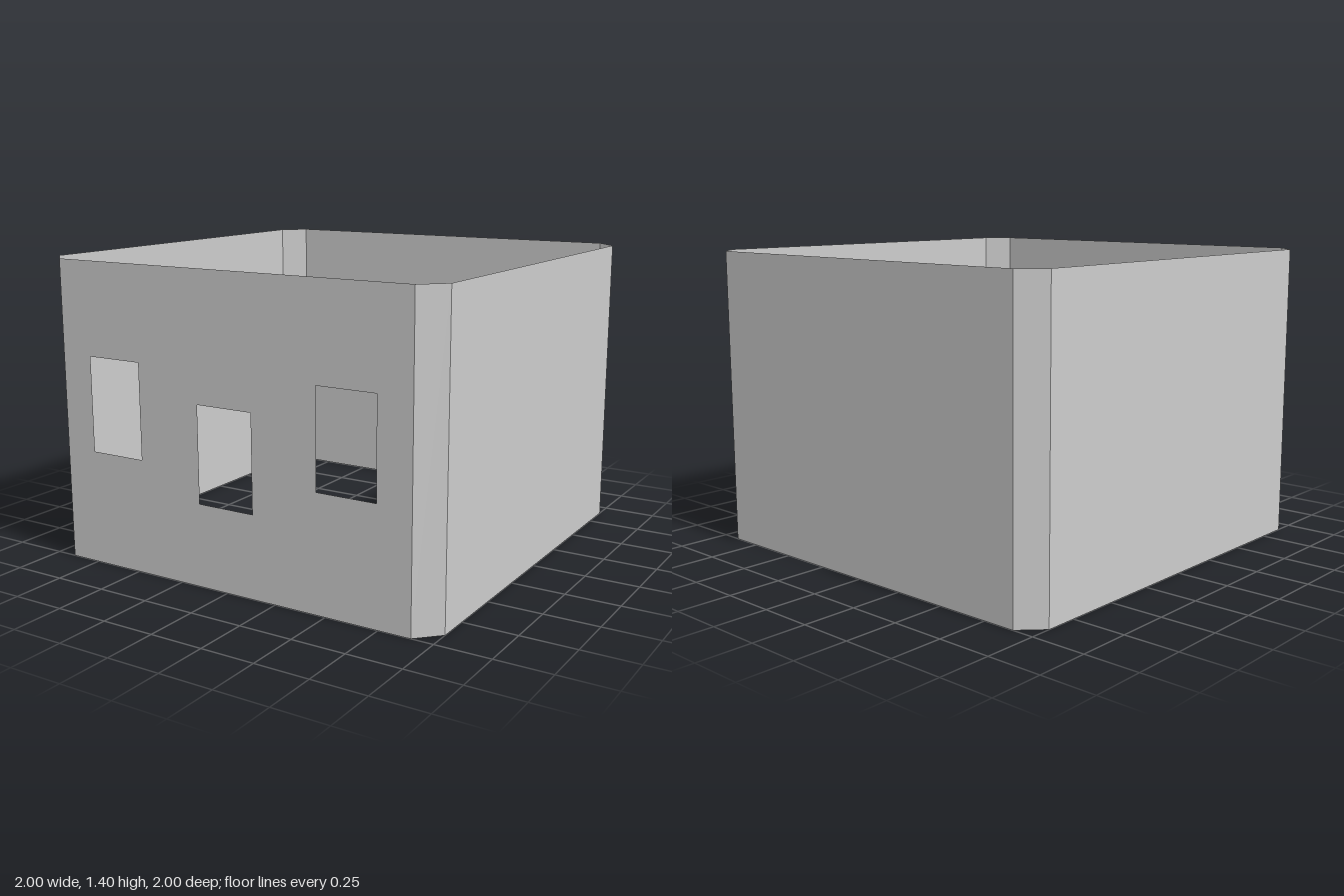
import * as THREE from 'three';

const HEIGHT = 1.4, HALF = 1, CHAMFER = 0.1;
const INNER = HALF - CHAMFER;

export function createModel() {
  const model = new THREE.Group();
  model.name = 'chamferedRoomShell';
  const material = new THREE.MeshStandardMaterial({
    color: 0xcccccc, flatShading: true, side: THREE.DoubleSide,
  });

  // Upright sheet panel facing outward at an angle, with optional rectangular openings
  function addPanel(name, width, distance, angle, openings = []) {
    const rect = (Type, x, y, w, h) => new Type([
      [x - w / 2, y], [x + w / 2, y], [x + w / 2, y + h], [x - w / 2, y + h],
    ].map(([px, py]) => new THREE.Vector2(px, py)));
    const shape = rect(THREE.Shape, 0, 0, width, HEIGHT);
    for (const [x, y, w, h] of openings) shape.holes.push(rect(THREE.Path, x, y, w, h));
    const panel = new THREE.Mesh(new THREE.ShapeGeometry(shape), material);
    panel.name = name;
    panel.rotation.y = angle;
    panel.position.set(Math.sin(angle) * distance, 0, Math.cos(angle) * distance);
    model.add(panel);
  }

  // Window openings: centre x, sill height, width, height
  const windows = [
    [-0.6, 0.53, 0.28, 0.44],
    [0, 0.38, 0.28, 0.44],
    [0.6, 0.53, 0.28, 0.44],
  ];

  // Four walls and the four chamfered corner strips between them
  const walls = ['frontWall', 'leftWall', 'backWall', 'rightWall'];
  const corners = ['frontLeftCorner', 'backLeftCorner', 'backRightCorner', 'frontRightCorner'];
  for (let i = 0; i < 4; i++) {
    const angle = i * Math.PI / 2;
    addPanel(walls[i], INNER * 2, HALF, angle, i === 0 ? windows : []);
    addPanel(corners[i], CHAMFER * Math.SQRT2, (HALF + INNER) / Math.SQRT2, angle + Math.PI / 4);
  }
  return model;
}
